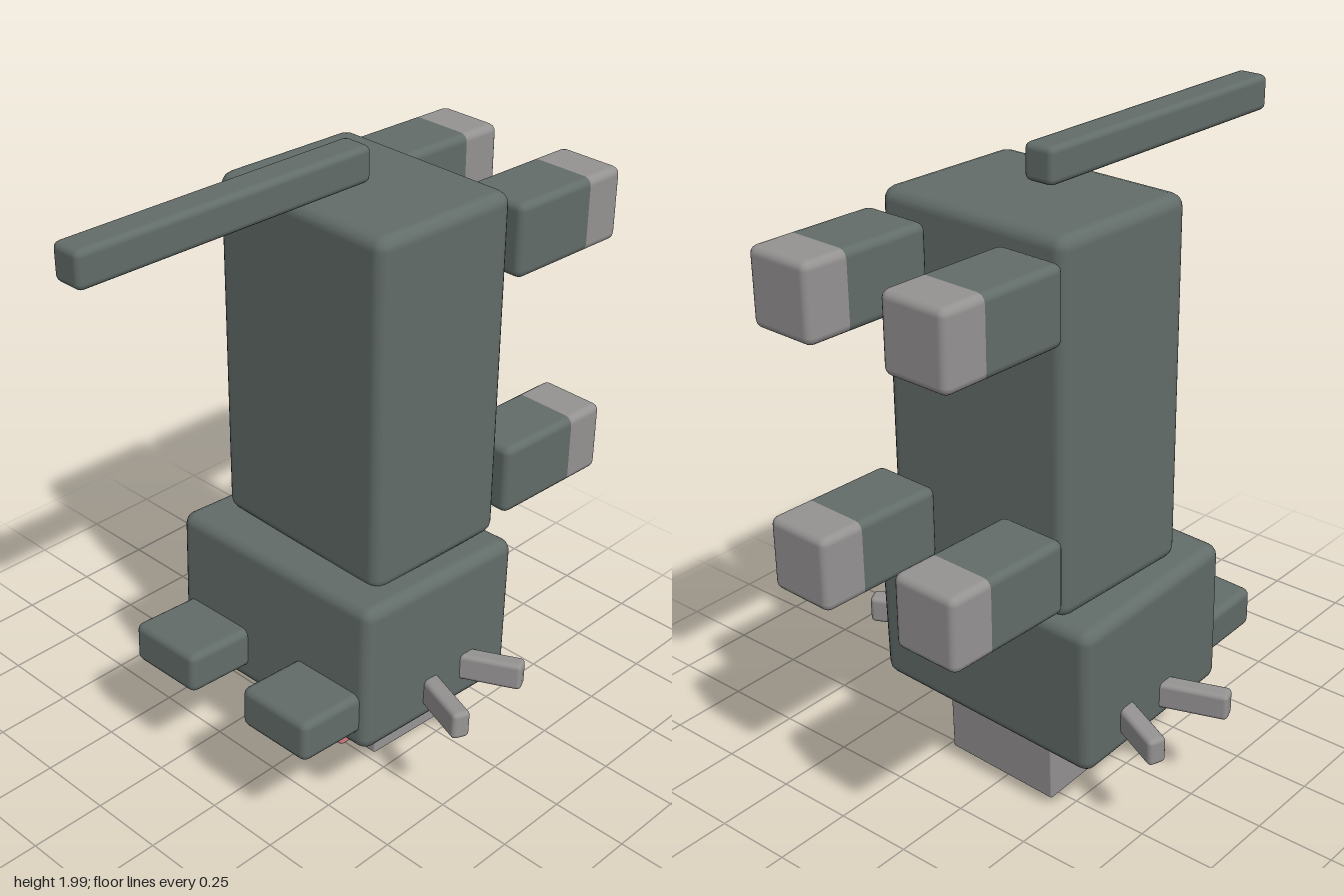
import * as THREE from 'three';
import { RoundedBoxGeometry } from 'three/addons/geometries/RoundedBoxGeometry.js';

export function createModel() {
  const model = new THREE.Group();
  const mat = (name, color) => {
    const m = new THREE.MeshStandardMaterial({ color });
    m.name = name;
    return m;
  };
  const fur = mat('slate fur', 0x626c69);
  const pale = mat('pale grey', 0x959292);
  const pink = mat('nose pink', 0xca7d7c);
  const dark = mat('eye dark', 0x2a2d2d);

  // Softly bevelled box: size, centre, rotation
  function block(name, material, size, pos, rot = [0, 0, 0], radius = 0.025) {
    const mesh = new THREE.Mesh(new RoundedBoxGeometry(...size, 2, radius), material);
    mesh.name = name;
    mesh.position.set(...pos);
    mesh.rotation.set(...rot);
    model.add(mesh);
    return mesh;
  }
  // Flattens one z end of a bevelled box so two boxes meet flush
  function cutEnd(mesh, min, max) {
    const p = mesh.geometry.attributes.position;
    for (let i = 0; i < p.count; i++) p.setZ(i, THREE.MathUtils.clamp(p.getZ(i), min, max));
  }

  const bodyTurn = [0, -0.04, 0];
  const headTurn = [-0.054, -0.015, 0.03];

  // Torso and tail
  block('body', fur, [0.67, 1.12, 0.51], [-0.015, 1.32, -0.155], bodyTurn, 0.04);
  block('tail', fur, [0.105, 0.11, 1.01], [-0.033, 1.945, 0.36], [0, -0.02, 0], 0.02);

  // Four legs with pale paws, each built from two flush halves
  const r = 0.025;
  for (const y of [0.925, 1.715]) {
    for (const [side, x, z] of [['right', -0.238, -0.65], ['left', 0.24, -0.64]]) {
      const leg = new THREE.Group();
      leg.name = `${side}${y > 1 ? 'Hind' : 'Front'}Leg`;
      leg.position.set(x, y, z);
      leg.rotation.set(...bodyTurn);
      const upper = block('upperLeg', fur, [0.225, 0.23, 0.29 + r], [0, 0, 0.07 - r / 2], [0, 0, 0], r);
      cutEnd(upper, -0.145 + r / 2, 1);
      const paw = block('paw', pale, [0.225, 0.23, 0.14 + r], [0, 0, -0.145 + r / 2], [0, 0, 0], r);
      cutEnd(paw, -1, 0.07 - r / 2);
      leg.add(upper, paw);
      model.add(leg);
    }
  }

  // Head, muzzle and nose
  block('head', fur, [0.82, 0.49, 0.635], [-0.006, 0.52, -0.08], headTurn, 0.04);
  block('muzzle', pale, [0.405, 0.28, 0.295], [0.006, 0.17, -0.155], headTurn, 0.006);
  block('nose', pink, [0.165, 0.12, 0.11], [0.01, 0.073, -0.026], headTurn, 0.015);

  // Ears and eyes
  for (const [side, s] of [['left', 1], ['right', -1]]) {
    block(`${side}Ear`, fur, [0.272, 0.135, 0.28], [-0.006 + s * 0.241, 0.425 + s * 0.008, 0.325], headTurn);
    block(`${side}Eye`, dark, [0.14, 0.08, 0.23], [0.005 + s * 0.277, 0.272 + s * 0.009, 0.025], headTurn, 0.015);
  }

  // Whiskers: outer end x, z and turn
  for (const [name, x, y, z, turn] of [
    ['rightBackWhisker', -0.47, 0.362, -0.24, -0.42],
    ['rightFrontWhisker', -0.49, 0.358, 0.002, 0.35],
    ['leftBackWhisker', 0.465, 0.402, -0.222, 0.46],
    ['leftFrontWhisker', 0.49, 0.396, 0.002, -0.37],
  ]) block(name, pale, [0.23, 0.09, 0.058], [x, y, z], [-0.054, turn, 0.03], 0.015);

  return model;
}
